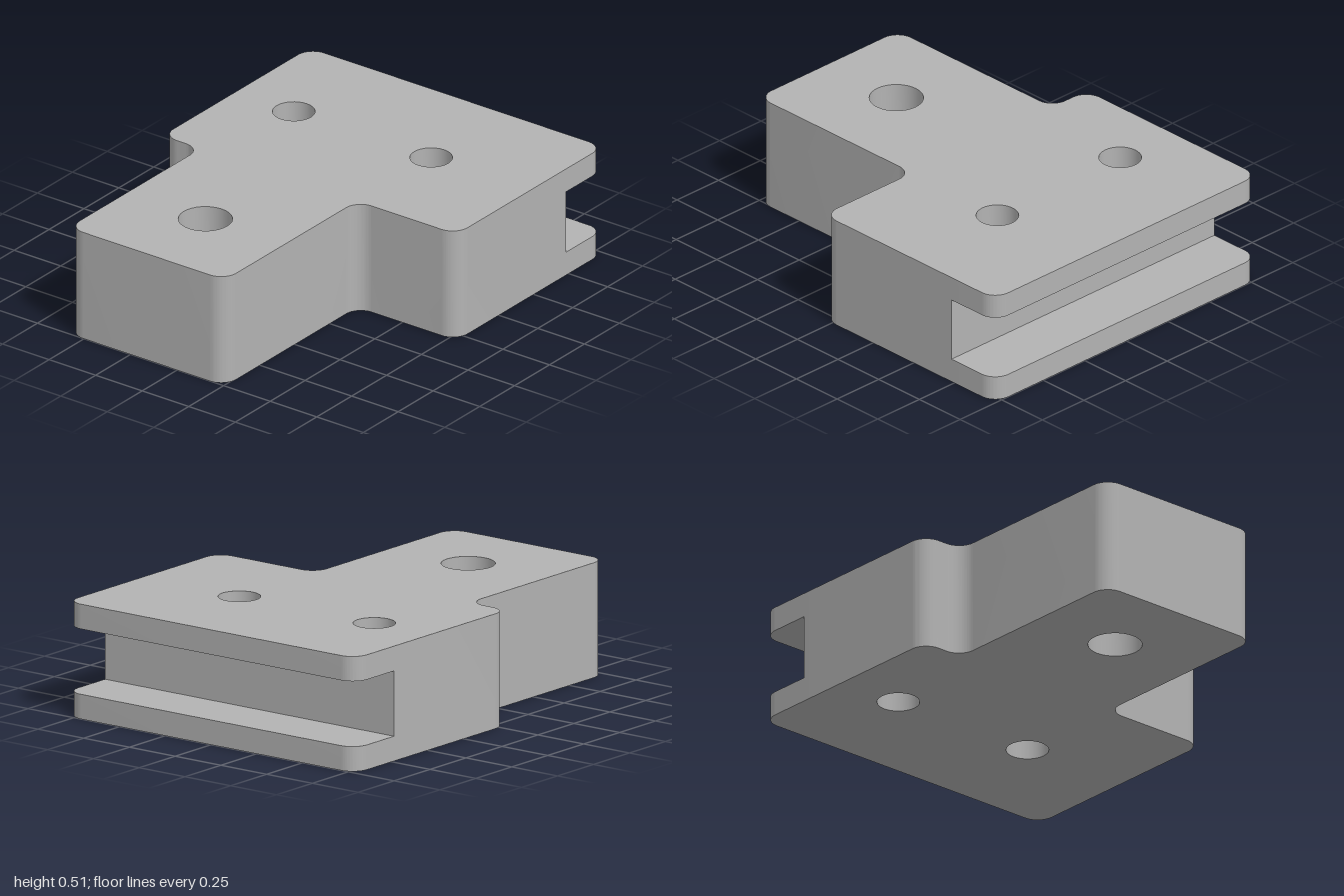
import * as THREE from 'three';
import { toCreasedNormals } from 'three/addons/utils/BufferGeometryUtils.js';

const HEIGHT = 0.51, LIP = 0.11, SLOT_X = 0.733, HALF_DEPTH = 0.79, R = 0.08;

// Plan outline from right-angled corners [x, z, radius]; shape y is -z
function roundedOutline(corners) {
  const shape = new THREE.Shape();
  const pts = corners.map(([x, z]) => new THREE.Vector2(x, -z));
  pts.forEach((p, i) => {
    const r = corners[i][2];
    const toPrev = pts.at(i - 1).clone().sub(p).normalize();
    const toNext = pts[(i + 1) % pts.length].clone().sub(p).normalize();
    const start = p.clone().addScaledVector(toPrev, r);
    if (i === 0) shape.moveTo(start.x, start.y);
    else shape.lineTo(start.x, start.y);
    if (r > 0) {
      const c = start.clone().addScaledVector(toNext, r);
      shape.absarc(c.x, c.y, r,
        Math.atan2(-toNext.y, -toNext.x), Math.atan2(-toPrev.y, -toPrev.x),
        toPrev.cross(toNext) > 0);
    }
  });
  shape.closePath();
  return shape;
}

// Upright slab standing at height y
function slab(name, shape, y, height, material) {
  const flat = new THREE.ExtrudeGeometry(shape, { depth: height, bevelEnabled: false, curveSegments: 16 });
  flat.rotateX(-Math.PI / 2);
  const mesh = new THREE.Mesh(toCreasedNormals(flat, 0.5), material);
  mesh.name = name;
  mesh.position.y = y;
  return mesh;
}

export function createModel() {
  const group = new THREE.Group();
  group.name = 'slottedBracket';
  const grey = new THREE.MeshStandardMaterial({ color: 0xb3b3b3 });
  grey.name = 'grey';

  // T-shaped body up to the slot floor
  const body = roundedOutline([
    [SLOT_X, HALF_DEPTH, 0],
    [SLOT_X, -HALF_DEPTH, 0],
    [-0.053, -HALF_DEPTH, R],
    [-0.053, -0.583, R],
    [-1, -0.583, R],
    [-1, 0.257, R],
    [-0.053, 0.257, R],
    [-0.053, HALF_DEPTH, R],
  ]);

  // Through holes: one large in the stem, two small in the crossbar
  for (const [x, z, r] of [[-0.58, -0.163, 0.117], [0.473, -0.478, 0.092], [0.473, 0.26, 0.092]]) {
    body.holes.push(new THREE.Path().absarc(x, -z, r, 0, Math.PI * 2, true));
  }
  group.add(slab('body', body, 0, HEIGHT, grey));

  // Lips above and below the side slot
  const lip = roundedOutline([
    [SLOT_X, HALF_DEPTH, 0],
    [1, HALF_DEPTH, R],
    [1, -HALF_DEPTH, R],
    [SLOT_X, -HALF_DEPTH, 0],
  ]);
  group.add(slab('lowerLip', lip, 0, LIP, grey));
  group.add(slab('upperLip', lip, HEIGHT - LIP, LIP, grey));

  return group;
}
